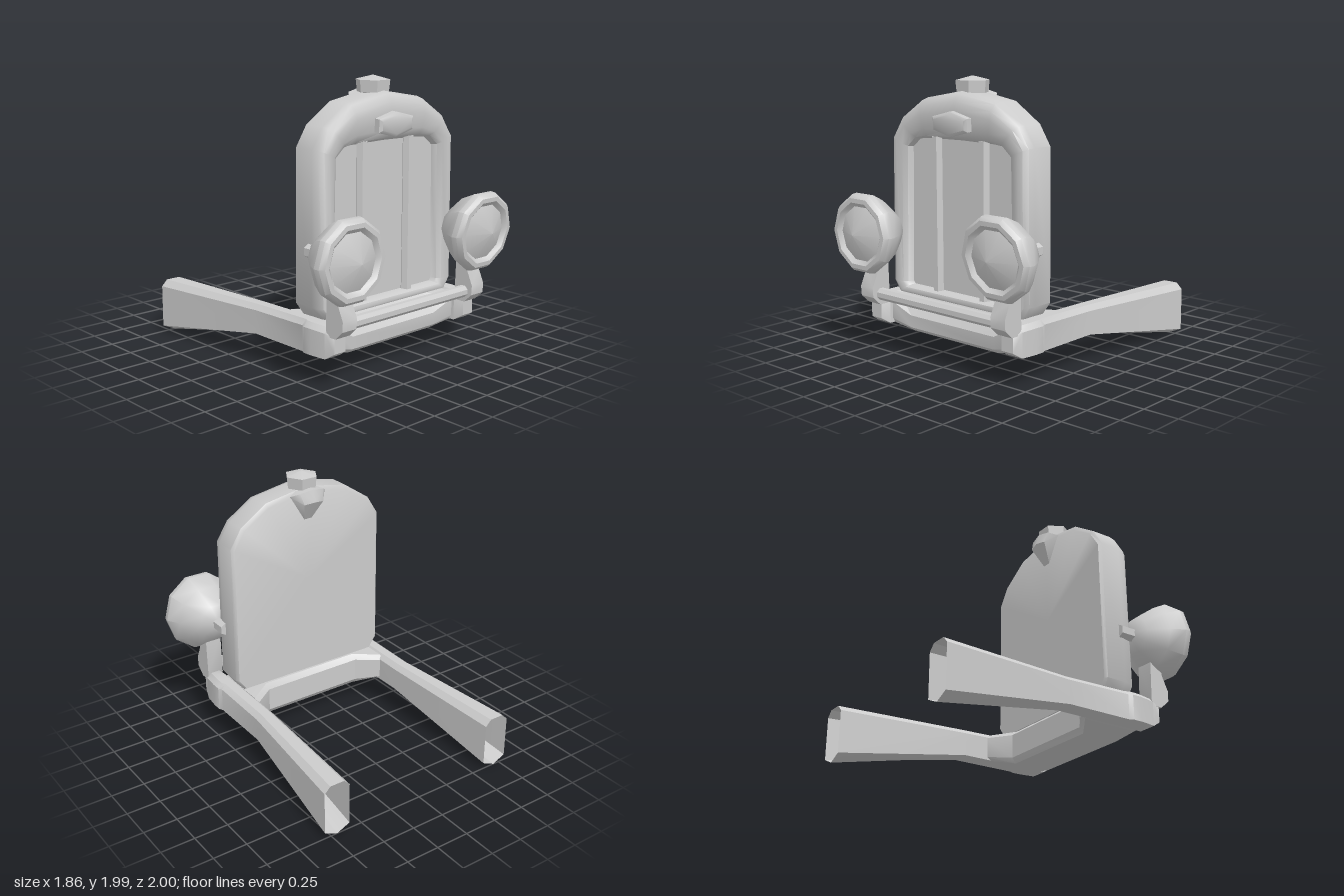
import * as THREE from 'three';
import { toCreasedNormals } from 'three/addons/utils/BufferGeometryUtils.js';
import { ConvexGeometry } from 'three/addons/geometries/ConvexGeometry.js';

const grey = new THREE.MeshStandardMaterial({ color: 0xcccccc, side: THREE.DoubleSide });

function part(parent, name, geometry, crease = 0.75) {
  const mesh = new THREE.Mesh(toCreasedNormals(geometry, crease), grey);
  mesh.name = name;
  parent.add(mesh);
  return mesh;
}

// Skin closed rings of [x, y, z] points, with optional end caps, facing outwards.
function loft(rings, capStart = true, capEnd = true) {
  const n = rings[0].length;
  const pts = rings.flat().map((p) => new THREE.Vector3(...p));
  const tris = [];
  for (let r = 0; r < rings.length - 1; r++) {
    for (let i = 0; i < n; i++) {
      const a = r * n + i, b = r * n + (i + 1) % n;
      tris.push([a, b, b + n], [a, b + n, a + n]);
    }
  }
  const cap = (start, flip) => {
    const c = new THREE.Vector3();
    for (let i = 0; i < n; i++) c.addScaledVector(pts[start + i], 1 / n);
    pts.push(c);
    for (let i = 0; i < n; i++) {
      const a = start + i, b = start + (i + 1) % n;
      tris.push(flip ? [b, a, pts.length - 1] : [a, b, pts.length - 1]);
    }
  };
  if (capStart) cap(0, true);
  if (capEnd) cap((rings.length - 1) * n, false);
  const mid = new THREE.Vector3();
  pts.forEach((p) => mid.addScaledVector(p, 1 / pts.length));
  let volume = 0;
  for (const t of tris) {
    const [a, b, c] = t.map((i) => pts[i].clone().sub(mid));
    volume += a.dot(b.cross(c));
  }
  if (volume < 0) tris.forEach((t) => t.reverse());
  const g = new THREE.BufferGeometry().setFromPoints(pts);
  g.setIndex(tris.flat());
  return g;
}

// Close a half outline (bottom centre to top centre) by mirroring it.
const mirrored = (half) => [...half, ...half.slice(1, -1).reverse().map(([x, y]) => [-x, y])];

function radiator(root) {
  const g = new THREE.Group();
  g.name = 'radiator';
  root.add(g);
  const outer = mirrored([[0, 0.41], [0.58, 0.41], [0.645, 0.5], [0.638, 1.55], [0.55, 1.69], [0.34, 1.83], [0, 1.89]]);
  const inner = mirrored([[0, 0.48], [0.48, 0.48], [0.495, 0.5], [0.475, 1.48], [0.4, 1.54], [0.3, 1.55], [0, 1.555]]);
  // [blend from outer outline to opening, z]
  const steps = [[0.12, 0.355], [0, 0.375], [0, 0.53], [0.05, 0.58], [0.2, 0.615], [0.4, 0.622], [0.75, 0.615], [0.93, 0.59], [1, 0.54]];
  const rings = steps.map(([t, z]) => outer.map(([x, y], i) => [x + (inner[i][0] - x) * t, y + (inner[i][1] - y) * t, z]));
  part(g, 'radiatorShell', loft(rings, true, false));

  const panel = new THREE.Shape(inner.map(([x, y]) => new THREE.Vector2(x, y)));
  part(g, 'grillePanel', new THREE.ShapeGeometry(panel)).position.z = 0.545;
  for (const x of [-0.222, 0.222]) {
    const bar = part(g, 'grilleBar', new THREE.CylinderGeometry(0.042, 0.042, 1.1, 6).rotateY(Math.PI / 6));
    bar.position.set(x, 1.02, 0.555);
  }

  // Plain six-sided badge plate on the shell
  const plate = new THREE.Shape([[0, -0.065], [0.14, -0.03], [0.14, 0.03], [0, 0.065], [-0.14, 0.03], [-0.14, -0.03]].map((p) => new THREE.Vector2(...p)));
  const badge = part(g, 'badgePlate', new THREE.ExtrudeGeometry(plate, { depth: 0.05, bevelSize: 0.02, bevelThickness: 0.015, bevelSegments: 1 }));
  badge.position.set(0, 1.675, 0.61);
  badge.rotation.x = 0.06;

  // Filler neck bulging from the back, and its six-sided cap
  const neck = [];
  for (const s of [-1, 1]) {
    neck.push([s * 0.15, 1.84, 0.36], [s * 0.1, 1.87, 0.3], [s * 0.08, 1.79, 0.275], [s * 0.09, 1.87, 0.42], [s * 0.03, 1.64, 0.36]);
  }
  neck.push([0, 1.888, 0.285], [0, 1.8, 0.258], [0, 1.885, 0.42]);
  part(g, 'fillerNeck', new ConvexGeometry(neck.map((p) => new THREE.Vector3(...p))));
  const capProfile = [[0, 1.86], [0.113, 1.875], [0.122, 1.96], [0, 1.99]].map((p) => new THREE.Vector2(...p));
  part(g, 'fillerCap', new THREE.LatheGeometry(capProfile, 6, Math.PI / 2), 0.4).position.z = 0.435;
}

function headlight(root, s) {
  const g = new THREE.Group();
  g.name = s > 0 ? 'leftHeadlight' : 'rightHeadlight';
  g.position.set(s * 0.635, 0.88, 0);
  root.add(g);
  const turned = (profile) => {
    const geo = new THREE.LatheGeometry(profile.map((p) => new THREE.Vector2(...p)), 10, Math.PI / 2).rotateX(Math.PI / 2);
    // the left lamp's face leans slightly
    const p = geo.attributes.position;
    for (let i = 0; i < p.count; i++) {
      const k = THREE.MathUtils.smoothstep(p.getZ(i), 0.76, 0.9);
      if (s > 0) p.setZ(i, p.getZ(i) + 0.1 * k * p.getY(i));
    }
    return geo;
  };
  part(g, 'lampBowl', turned([[0, 0.59], [0.137, 0.64], [0.24, 0.77], [0.293, 0.87], [0.288, 0.91], [0.262, 0.94], [0.23, 0.942], [0.2, 0.915]]));
  part(g, 'lampLens', turned([[0.2, 0.915], [0, 0.997]]));
  part(g, 'lampStem', new THREE.CylinderGeometry(0.052, 0.052, 0.17, 6).rotateX(Math.PI / 2)).position.z = 0.58;
}

function chassisSide(root, s) {
  const g = new THREE.Group();
  g.name = s > 0 ? 'leftChassisSide' : 'rightChassisSide';
  root.add(g);
  // Rail stations: z, inner x, outer x, bottom y, top y, chamfer, keel drop
  const stations = [
    [0.79, 0.58, 0.68, 0.25, 0.38, 0.02, 0], [0.72, 0.56, 0.7, 0.205, 0.415, 0.035, 0],
    [0.6, 0.56, 0.715, 0.205, 0.42, 0.035, 0], [0.53, 0.56, 0.715, 0.205, 0.42, 0.035, 0],
    [0.5, 0.56, 0.7, 0.205, 0.42, 0.035, 0], [0, 0.56, 0.7, 0.205, 0.41, 0.035, 0.005],
    [-1, 0.6, 0.8, 0.045, 0.4, 0.045, 0.045],
  ];
  const rings = stations.map(([z, a, b, lo, hi, c, keel]) =>
    [[a, lo], [(a + b) / 2, lo - keel], [b, lo], [b, hi - c], [b - c, hi], [a + c, hi], [a, hi - c]].map(([x, y]) => [s * x, y, z]));
  part(g, 'chassisRail', loft(rings, true, false));

  // Bracket carrying the lamp and the bumper bar
  const side = [[0.73, 0.72], [0.72, 0.4], [0.74, 0.36], [0.81, 0.36], [0.875, 0.42], [0.88, 0.49], [0.83, 0.6], [0.81, 0.72]];
  part(g, 'lampBracket', loft([0.565, 0.69].map((x) => side.map(([z, y]) => [s * x, y, z]))));
}

export function createModel() {
  const root = new THREE.Group();
  root.name = 'vehicleFront';
  radiator(root);
  for (const s of [-1, 1]) {
    headlight(root, s);
    chassisSide(root, s);
  }

  // Bumper bar between the brackets
  const bar = part(root, 'bumperBar', new THREE.CylinderGeometry(0.044, 0.044, 1.16, 8).rotateY(Math.PI / 8).rotateZ(Math.PI / 2));
  bar.position.set(0, 0.438, 0.8);

  // Cross member flaring into the rails, sections in [z, y]
  const centre = [[0.31, 0.2], [0.31, 0.375], [0.35, 0.41], [0.56, 0.41], [0.67, 0.28], [0.665, 0.19], [0.63, 0.16], [0.34, 0.16]];
  const end = [[0.18, 0.23], [0.18, 0.375], [0.22, 0.405], [0.6, 0.405], [0.7, 0.37], [0.7, 0.24], [0.68, 0.208], [0.22, 0.208]];
  const member = [[-0.58, end], [-0.4, centre], [0.4, centre], [0.58, end]];
  part(root, 'crossMember', loft(member.map(([x, sec]) => sec.map(([z, y]) => [x, y, z]))), 0.6);
  return root;
}
